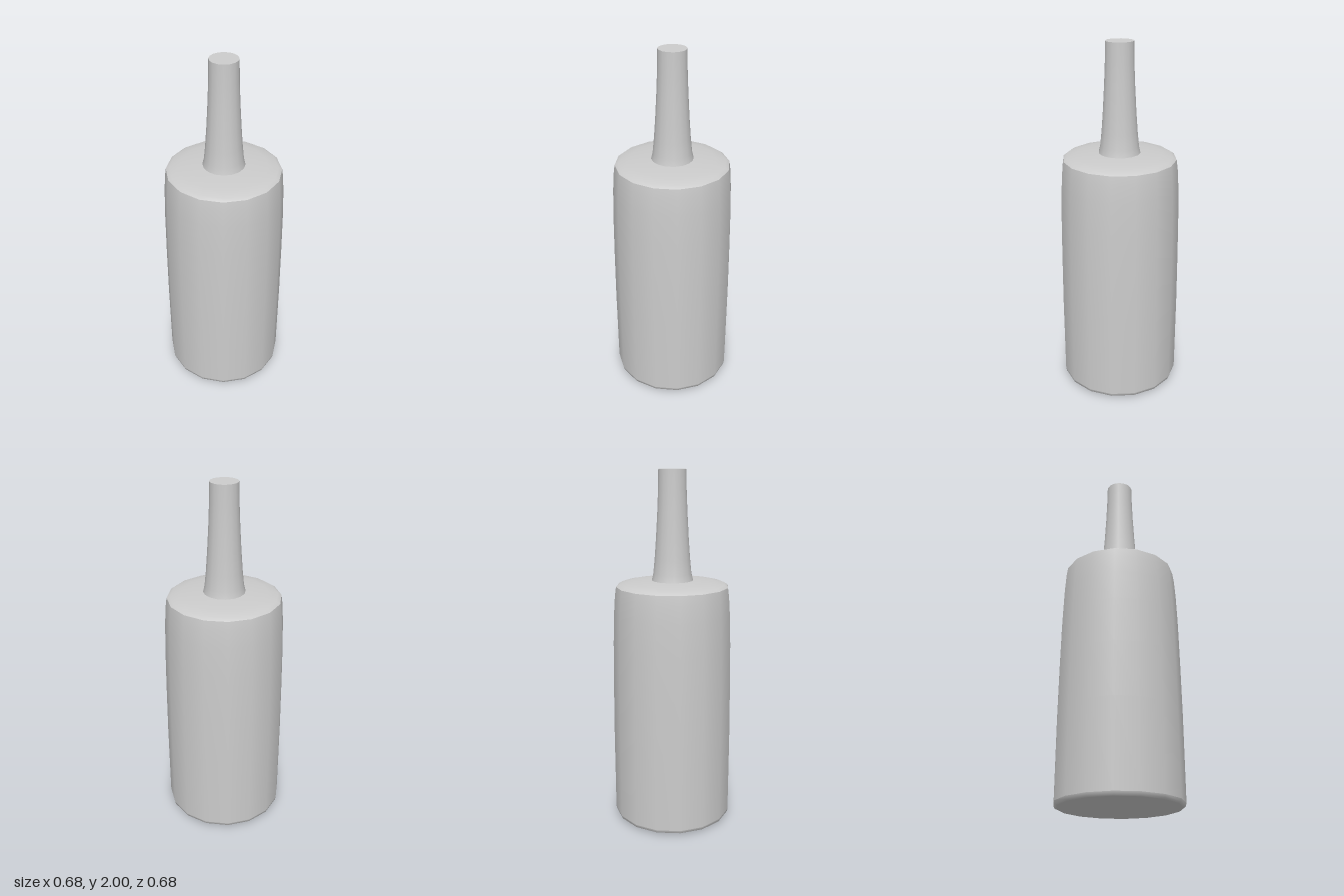
import * as THREE from 'three';

const SIDES = 16;

export function createModel() {
  const group = new THREE.Group();
  const material = new THREE.MeshStandardMaterial({ color: 0xcccccc });

  // Each section is its own lathe, so the edges between sections stay sharp.
  // Profiles are [radius, height], running from the base centre up to the tip.
  const addSection = (name, profile) => {
    const points = profile.map(([r, y]) => new THREE.Vector2(r, y));
    const mesh = new THREE.Mesh(new THREE.LatheGeometry(points, SIDES), material);
    mesh.name = name;
    group.add(mesh);
  };

  // Slightly domed underside
  addSection('base', [[0, 0], [0.09, 0], [0.328, 0.009]]);

  // Narrow rounded rim around the base
  addSection('baseRim', [[0.328, 0.009], [0.338, 0.014], [0.342, 0.03]]);

  // Tall body, tapering gently toward the shoulder
  addSection('body', [
    [0.342, 0.03], [0.342, 0.5], [0.339, 0.8], [0.335, 1.05],
    [0.329, 1.22], [0.322, 1.32], [0.315, 1.37],
  ]);

  // Shallow shoulder
  addSection('shoulder', [
    [0.315, 1.37], [0.295, 1.383], [0.24, 1.393], [0.17, 1.399], [0.116, 1.402],
  ]);

  // Flared neck
  addSection('neck', [
    [0.116, 1.402], [0.107, 1.44], [0.099, 1.52], [0.091, 1.63],
    [0.083, 1.77], [0.078, 1.89], [0.076, 2],
  ]);

  // Flat closed tip
  addSection('neckTop', [[0.076, 2], [0, 2]]);

  return group;
}
